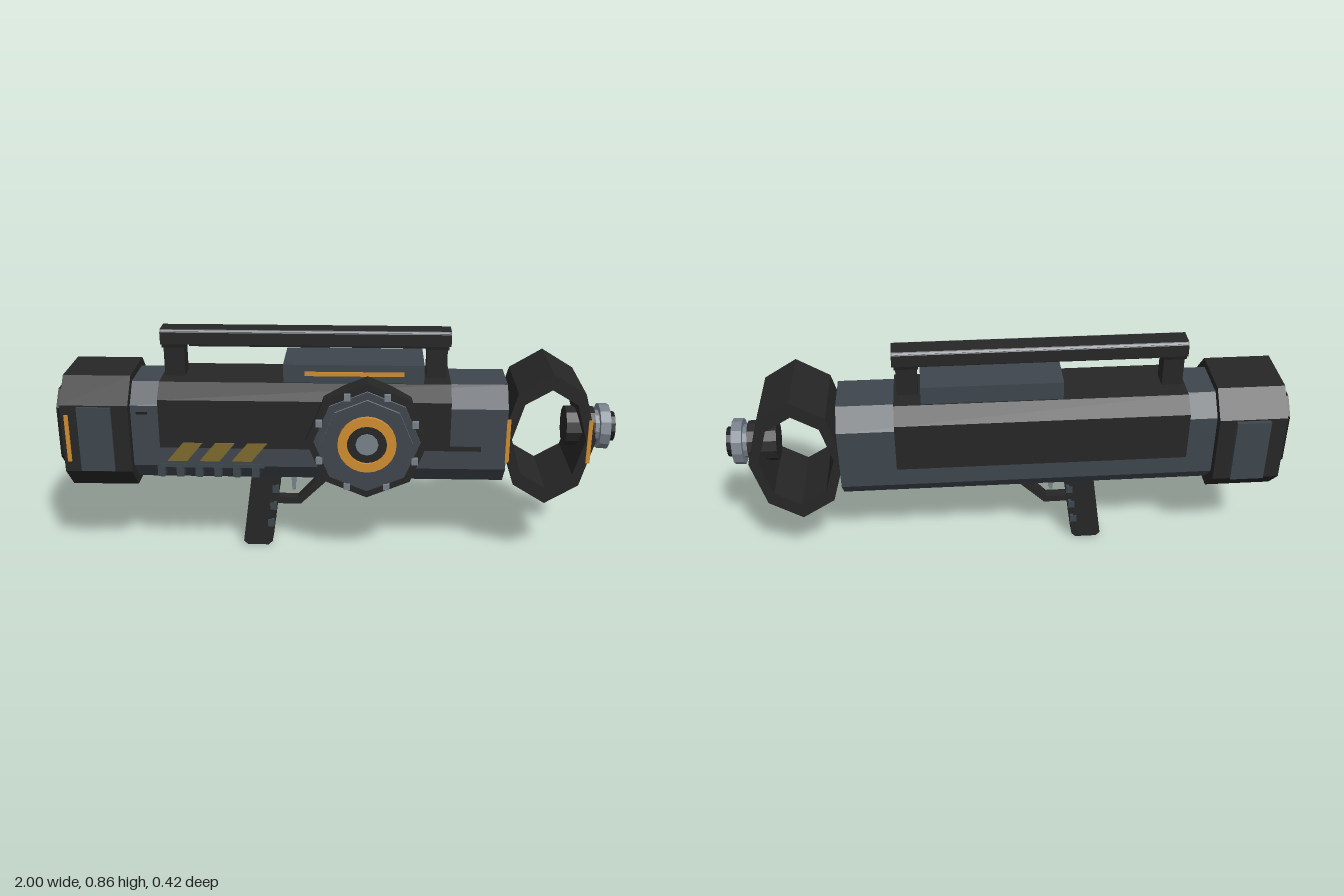
import * as THREE from 'three';

const mat = (name, color, extra = {}) => Object.assign(new THREE.MeshStandardMaterial({ color, ...extra }), { name });

export function createModel() {
  const model = new THREE.Group();
  model.name = 'launcher';
  const dark = mat('dark casing', 0x262626);
  const black = mat('black rubber', 0x1c1c1c);
  const grey = mat('blue grey metal', 0x3e464d);
  const light = mat('light steel', 0x78818b);
  const orange = mat('orange accent', 0xd18d30);
  const hazard = mat('hazard yellow', 0x7d6a2c);
  const CY = 0.495, CZ = -0.01; // axis of the tube

  function add(name, geo, material, parent = model) {
    const m = new THREE.Mesh(geo, material);
    m.name = name;
    parent.add(m);
    return m;
  }
  // box from its min and max on each axis
  function box(name, x0, x1, y0, y1, z0, z1, material) {
    const g = new THREE.BoxGeometry(x1 - x0, y1 - y0, z1 - z0);
    g.translate((x0 + x1) / 2, (y0 + y1) / 2, (z0 + z1) / 2);
    return add(name, g, material);
  }
  const polygon = (n, rx, ry = rx, turn = 0) => Array.from({ length: n }, (_, i) => {
    const a = turn + (i / n) * Math.PI * 2;
    return [Math.cos(a) * rx, Math.sin(a) * ry];
  });
  const chamfered = (w, h, cw, ch) => [
    [w, -h + ch], [w, h - ch], [w - cw, h], [-w + cw, h],
    [-w, h - ch], [-w, -h + ch], [-w + cw, -h], [w - cw, -h]];
  function extrude(points, depth, hole) {
    const vec = (list) => list.map(([x, y]) => new THREE.Vector2(x, y));
    const shape = new THREE.Shape(vec(points));
    if (hole) shape.holes.push(new THREE.Path(vec(hole)));
    return new THREE.ExtrudeGeometry(shape, { depth, bevelEnabled: false });
  }
  // prism along z, profile in x and y
  function prismZ(name, points, cx, cy, z0, z1, material, hole) {
    return add(name, extrude(points, z1 - z0, hole).translate(cx, cy, z0), material);
  }
  // prism along x, profile in z and y
  function prismX(name, points, x0, x1, cy, material, hole) {
    return add(name, extrude(points, x1 - x0, hole).rotateY(Math.PI / 2).translate(x0, cy, CZ), material);
  }

  // Main tube and the dark shell over its upper half
  prismX('mainTube', chamfered(0.15, 0.184, 0.065, 0.07), -0.74, 0.6, CY, grey);
  prismX('upperShell', [[0.161, 0.455], [0.161, 0.635], [0.105, 0.684],
    [-0.105, 0.684], [-0.161, 0.635], [-0.161, 0.455]], -0.63, 0.4, 0, dark);
  box('shellTab', 0.38, 0.51, 0.452, 0.468, 0.13, 0.146, dark);
  box('tubeSlot', -0.71, -0.67, 0.578, 0.586, 0.136, 0.143, black);

  // Rear housing with side panels and end cap
  prismX('rearHousing', chamfered(0.185, 0.21, 0.08, 0.085), -0.97, -0.73, CY, dark);
  prismX('rearCap', chamfered(0.125, 0.148, 0.05, 0.055), -1, -0.97, CY, black);
  box('rearPanelFront', -0.91, -0.79, 0.375, 0.615, 0.17, 0.185, grey);
  box('rearPanelBack', -0.91, -0.79, 0.375, 0.615, -0.21, -0.19, grey);
  box('rearStripe', -0.957, -0.943, 0.41, 0.585, 0.173, 0.181, orange);

  // Open octagonal frame at the muzzle
  prismZ('muzzleFrame', polygon(8, 0.165, 0.245), 0.748, CY, -0.157, 0.137, dark,
    polygon(8, 0.13, 0.187));
  box('frameStripeInner', 0.597, 0.611, 0.41, 0.572, 0.134, 0.142, orange);
  box('frameStripeOuter', 0.882, 0.896, 0.41, 0.572, 0.134, 0.142, orange);

  // Muzzle barrel
  prismX('barrelBase', polygon(12, 0.073), 0.822, 0.925, CY, dark);
  prismX('barrelNeck', polygon(12, 0.06), 0.925, 0.945, CY, light);
  prismX('barrelRing', polygon(12, 0.083), 0.942, 0.978, CY, light, polygon(12, 0.053));
  prismX('barrelTip', polygon(12, 0.054), 0.942, 1, CY, black);

  // Round drum on the front side
  const DX = 0.107, DY = 0.498;
  prismZ('drumHousing', polygon(8, 0.216), DX, DY, 0.1, 0.177, dark);
  prismZ('drumRim', polygon(8, 0.187), DX, DY, 0.177, 0.183, light);
  prismZ('drumPlateEdge', polygon(8, 0.16), DX, DY, 0.177, 0.195, light);
  prismZ('drumPlate', polygon(8, 0.187), DX, DY, 0.183, 0.187, grey);
  prismZ('drumPlateFace', polygon(8, 0.16), DX, DY, 0.195, 0.198, grey);
  prismZ('drumDial', polygon(24, 0.08), DX, DY, 0.195, 0.203, dark);
  prismZ('drumRing', polygon(24, 0.103), DX, DY, 0.195, 0.212, orange, polygon(24, 0.07));
  prismZ('drumHub', polygon(12, 0.04), DX, DY, 0.2, 0.207, light);
  polygon(8, 0.182, 0.182, Math.PI / 8).forEach(([x, y]) => {
    prismZ('drumBolt', polygon(4, 0.016, 0.016, Math.PI / 4), DX + x, DY + y, 0.17, 0.195, light);
  });

  // Sight block on top
  box('topBlock', -0.19, 0.305, 0.67, 0.75, -0.11, 0.09, grey);
  box('topBlockStripe', -0.115, 0.235, 0.71, 0.725, 0.088, 0.095, orange);

  // Carry handle
  prismX('handleBar', [[0.043, 0.802], [0.043, 0.845], [0.034, 0.855],
    [-0.034, 0.855], [-0.043, 0.845], [-0.043, 0.802]], -0.63, 0.4, 0, dark);
  box('handleUnderside', -0.53, 0.31, 0.792, 0.803, -0.04, 0.02, black);
  for (const z of [-0.05, 0.03]) {
    const strip = box('handleEdge', -0.625, 0.395, -0.001, 0.001, -0.003, 0.003, light);
    strip.position.set(0, 0.8508, z - Math.sign(z) * 0.0005);
    strip.rotation.x = Math.sign(z) * 0.84;
  }
  for (const x of [-0.62, 0.315]) {
    box('handlePost', x, x + 0.073, 0.68, 0.805, -0.045, 0.025, dark);
    box('handleCollar', x - 0.005, x + 0.078, 0.79, 0.804, -0.052, 0.032, black);
  }

  // Hazard stripes and vent teeth below the shell
  for (let i = 0; i < 3; i++) {
    prismZ('hazardStripe', [[0, 0], [0.07, 0], [0.128, 0.07], [0.058, 0.07]],
      -0.605 + i * 0.115, 0.405, 0.145, 0.154, hazard);
  }
  box('ventRail', -0.64, -0.26, 0.375, 0.388, 0.125, 0.143, grey);
  for (let i = 0; i < 6; i++) {
    const x = -0.645 + i * 0.068;
    box('ventTooth', x, x + 0.026, 0.34, 0.38, 0.11, 0.146, grey);
  }

  // Slanted pistol grip with a bevelled body and side ribs
  prismZ('gripCore', [[-0.36, 0.015], [-0.345, 0], [-0.265, 0], [-0.25, 0.015],
    [-0.208, 0.32], [-0.3, 0.32], [-0.322, 0.29]], 0, 0, -0.038, 0.018, dark);
  prismZ('gripSides', [[-0.345, 0.022], [-0.265, 0.022], [-0.224, 0.31], [-0.305, 0.31]],
    0, 0, -0.05, 0.03, dark);
  for (const y of [0.1, 0.17, 0.24]) {
    const x = -0.266 + y * 0.14;
    box('gripStud', x - 0.012, x + 0.012, y - 0.014, y + 0.014, -0.054, 0.034, grey);
  }

  // Trigger and its guard
  prismZ('triggerGuard', [[-0.235, 0.172], [-0.14, 0.172], [-0.035, 0.275], [-0.035, 0.32],
    [-0.07, 0.32], [-0.07, 0.285], [-0.15, 0.197], [-0.235, 0.197]], 0, 0, -0.03, 0.01, dark);
  prismZ('trigger', [[-0.172, 0.225], [-0.16, 0.225], [-0.155, 0.32], [-0.177, 0.32]],
    0, 0, -0.02, 0, light);

  return model;
}
